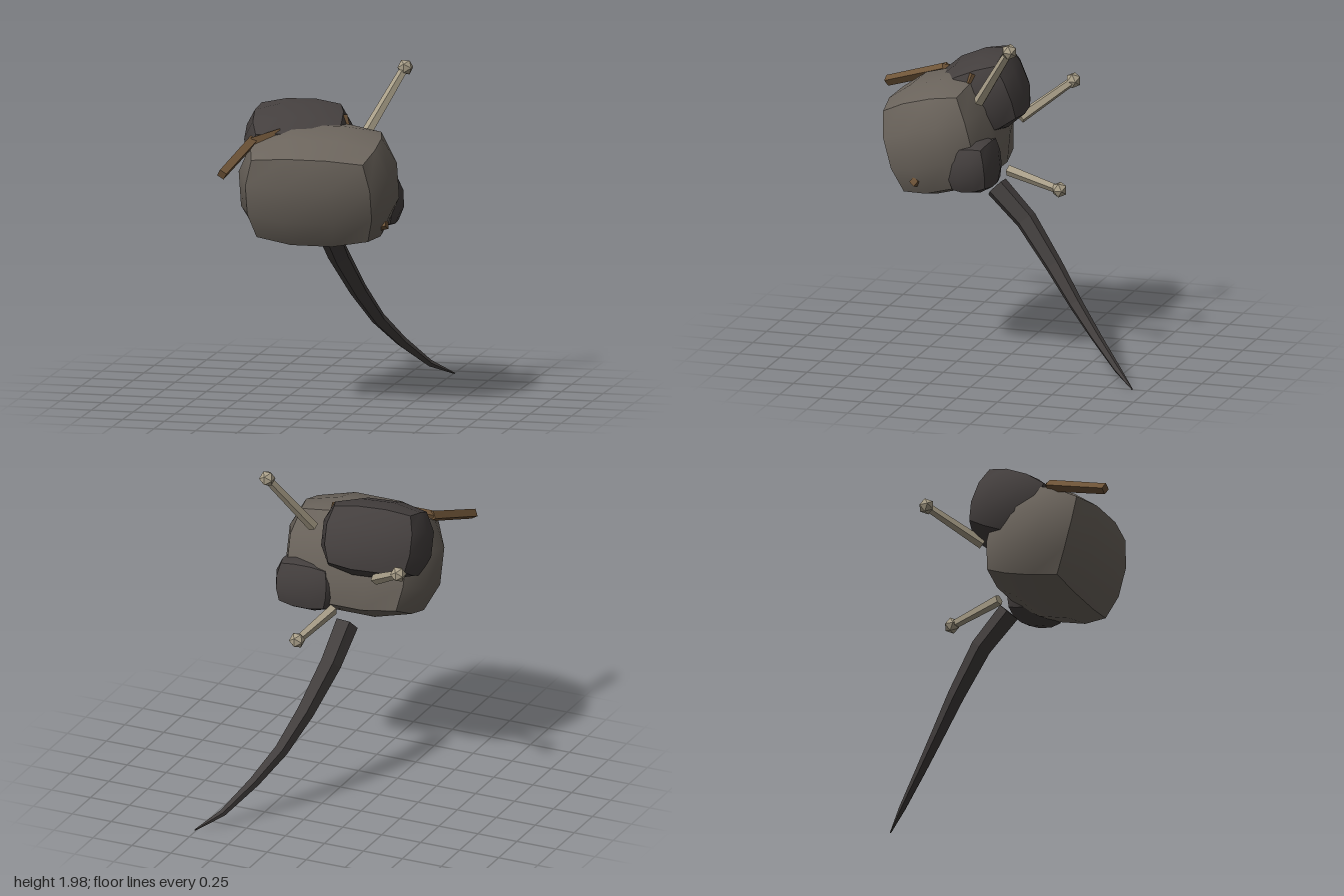
import * as THREE from 'three';

const mat = (name, color, flat) => {
  const m = new THREE.MeshStandardMaterial({ color, flatShading: !!flat });
  m.name = name;
  return m;
};

export function createModel() {
  const stone = mat('warm grey', 0x6b645c);
  const dark = mat('dark grey', 0x443f3e);
  const tailDark = mat('tail grey', 0x423e3d, true);
  const bone = mat('bone', 0xa89e88, true);
  const brown = mat('brown', 0x6e5438, true);
  const group = new THREE.Group();

  const add = (name, geometry, material) => {
    const mesh = new THREE.Mesh(geometry, material);
    mesh.name = name;
    group.add(mesh);
    return mesh;
  };

  // Lump: a box blended towards a sphere, smooth faces with creased box edges
  const lump = (name, material, size, pos, rot) => {
    const g = new THREE.BoxGeometry(2, 2, 2, 3, 3, 3);
    const p = g.attributes.position;
    const v = new THREE.Vector3();
    for (let i = 0; i < p.count; i++) {
      v.fromBufferAttribute(p, i);
      v.multiplyScalar(0.27 + 0.73 / v.length());
      p.setXYZ(i, v.x * size[0], v.y * size[1], v.z * size[2]);
    }
    g.computeVertexNormals();
    const mesh = add(name, g, material);
    mesh.position.set(...pos);
    mesh.rotation.set(...rot, 'YXZ');
  };
  lump('body', stone, [0.482, 0.355, 0.335], [0.02, 1.33, 0.38], [0.26, 0, 0]);
  lump('upperLump', dark, [0.335, 0.24, 0.255], [-0.14, 1.535, 0.21], [0.38, 0.14, 0]);
  lump('sideLump', dark, [0.205, 0.165, 0.145], [0.265, 1.21, 0.14], [0.12, 0, 0]);

  // Straight bar between two points
  const bar = (name, a, b, r0, r1, sides, material) => {
    const from = new THREE.Vector3(...a), to = new THREE.Vector3(...b);
    const dir = to.clone().sub(from);
    const mesh = add(name, new THREE.CylinderGeometry(r1, r0, dir.length(), sides), material);
    mesh.position.copy(from).add(to).multiplyScalar(0.5);
    mesh.quaternion.setFromUnitVectors(new THREE.Vector3(0, 1, 0), dir.normalize());
  };

  // Stalks with faceted knobs
  const stalks = [
    [[0.23, 1.58, 0.12], [0.41, 1.95, -0.125]],
    [[-0.22, 1.37, 0.02], [-0.475, 1.55, -0.22]],
    [[0.05, 1.13, 0], [0.12, 1.06, -0.335]],
  ];
  for (const [base, tip] of stalks) {
    bar('stalk', base, tip, 0.034, 0.026, 5, bone);
    add('stalkKnob', new THREE.IcosahedronGeometry(0.048, 0), bone).position.set(...tip);
  }

  // Bent limb, and two limbs mostly buried in the lumps
  bar('limbUpper', [-0.2, 1.635, 0.43], [-0.35, 1.59, 0.52], 0.032, 0.032, 4, brown);
  bar('limbLower', [-0.345, 1.595, 0.505], [-0.43, 1.46, 0.905], 0.034, 0.032, 4, brown);
  bar('buriedLimb', [0.12, 1.71, 0.195], [0.16, 1.58, 0.235], 0.024, 0.024, 4, brown);
  bar('limbStub', [0.2, 1.06, 0.41], [0.445, 1.125, 0.45], 0.028, 0.028, 4, brown);

  // Tail: tapering five-sided rings along a curve
  const path = [
    [0.005, 1.01, 0.09, 0.072], [0.02, 0.83, -0.095, 0.066], [0.09, 0.59, -0.29, 0.054],
    [0.17, 0.395, -0.45, 0.043], [0.268, 0.24, -0.605, 0.033], [0.39, 0.088, -0.78, 0.021],
    [0.507, 0.01, -0.91, 0.004],
  ];
  const centres = path.map((q) => new THREE.Vector3(q[0], q[1], q[2]));
  const sides = 5, verts = [], index = [];
  centres.forEach((c, i) => {
    const next = centres[Math.min(i + 1, centres.length - 1)];
    const prev = centres[Math.max(i - 1, 0)];
    const t = next.clone().sub(prev).normalize();
    const u = new THREE.Vector3(1, 0, 0).addScaledVector(t, -t.x).normalize();
    const w = t.clone().cross(u);
    for (let k = 0; k < sides; k++) {
      const a = (k / sides) * Math.PI * 2 + Math.PI / 2;
      const p = c.clone().addScaledVector(u, Math.cos(a) * path[i][3]).addScaledVector(w, Math.sin(a) * path[i][3]);
      verts.push(p.x, p.y, p.z);
      if (i < centres.length - 1) {
        const n = (k + 1) % sides, r = i * sides;
        index.push(r + k, r + n, r + sides + k, r + n, r + sides + n, r + sides + k);
      }
    }
  });
  const last = (centres.length - 1) * sides;
  for (let k = 1; k < sides - 1; k++) {
    index.push(0, k + 1, k, last, last + k, last + k + 1);
  }
  const tail = new THREE.BufferGeometry();
  tail.setAttribute('position', new THREE.Float32BufferAttribute(verts, 3));
  tail.setIndex(index);
  tail.computeVertexNormals();
  add('tail', tail, tailDark);

  return group;
}
